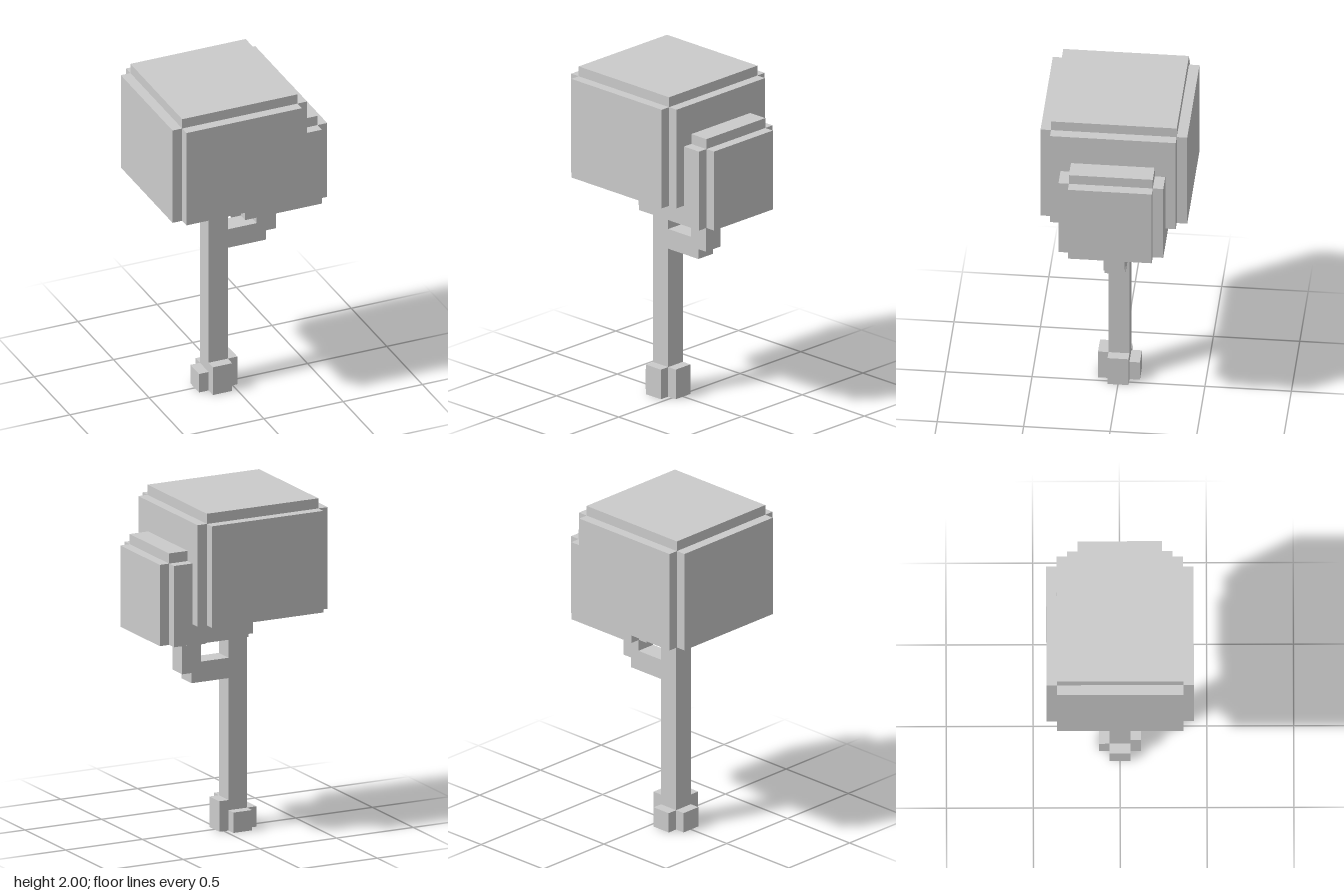
import * as THREE from 'three';

const U = 2 / 33; // one block; all sizes below are in blocks
const material = new THREE.MeshStandardMaterial({ color: 0xcccccc, flatShading: true });

function addMesh(parent, name, geometry) {
  const mesh = new THREE.Mesh(geometry, material);
  mesh.name = name;
  parent.add(mesh);
}

// Box between two opposite corners
function addBox(parent, name, [x0, y0, z0], [x1, y1, z1]) {
  const geometry = new THREE.BoxGeometry(x1 - x0, y1 - y0, z1 - z0);
  geometry.translate((x0 + x1) / 2, (y0 + y1) / 2, (z0 + z1) / 2);
  addMesh(parent, name, geometry);
}

// Upright prism with a square outline whose corners are notched by one block
function addNotched(parent, name, cx, halfX, halfZ, y0, y1) {
  const a = halfX, b = halfZ, c = a - 1, d = b - 1;
  const outline = [
    [a, -d], [a, d], [c, d], [c, b], [-c, b], [-c, d],
    [-a, d], [-a, -d], [-c, -d], [-c, -b], [c, -b], [c, -d],
  ].map(([x, y]) => new THREE.Vector2(x, y));
  const geometry = new THREE.ExtrudeGeometry(new THREE.Shape(outline), { depth: y1 - y0, bevelEnabled: false });
  geometry.rotateX(-Math.PI / 2);
  geometry.translate(cx, y0, 0);
  addMesh(parent, name, geometry);
}

export function createModel() {
  const tree = new THREE.Group();
  tree.name = 'blockTree';

  // Trunk with four roots, two taller than the others
  addBox(tree, 'trunk', [-2.5, 0, -1], [-0.5, 22, 1]);
  addBox(tree, 'rootFront', [-2.5, 0, 1], [-0.5, 3, 2]);
  addBox(tree, 'rootBack', [-2.5, 0, -2], [-0.5, 2, -1]);
  addBox(tree, 'rootLeft', [-0.5, 0, -1], [0.5, 3, 1]);
  addBox(tree, 'rootRight', [-3.5, 0, -1], [-2.5, 2, 1]);
  addNotched(tree, 'trunkCollar', -1.5, 2, 2, 21, 22);

  // Side branch that bends upward
  addBox(tree, 'branchArm', [-0.5, 15, -1], [3.5, 17, 1]);
  addBox(tree, 'branchRiser', [2.5, 16, -1], [4.5, 20, 1]);
  addNotched(tree, 'branchCollar', 3.5, 2, 2, 19, 20);

  // Foliage: notched block with a smaller cap on top
  addNotched(tree, 'mainFoliage', -1.5, 7, 7, 22, 32);
  addBox(tree, 'mainFoliageCap', [-7.5, 32, -6], [4.5, 33, 6]);
  addNotched(tree, 'sideFoliage', 3.5, 5, 5, 20, 28);
  addBox(tree, 'sideFoliageCap', [-0.5, 28, -4], [7.5, 29, 4]);

  tree.scale.setScalar(U);
  return tree;
}
